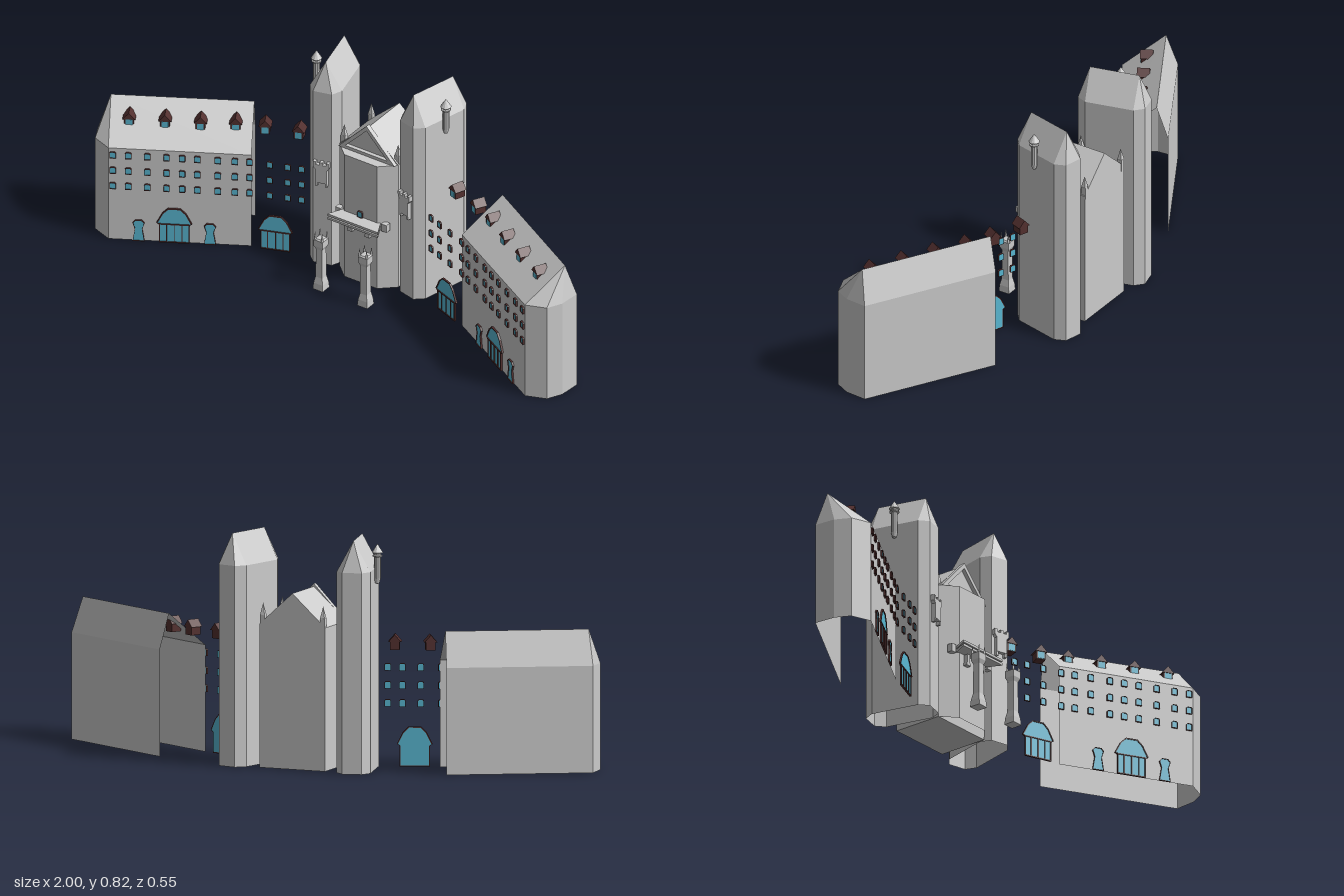
import * as THREE from 'three';

const mat = (color) => new THREE.MeshStandardMaterial({ color, flatShading: true, side: THREE.DoubleSide });
const GREY = mat(0xcccccc), GLASS = mat(0x5ab9d4), WOOD = mat(0x53302f);

function add(parent, name, geometry, material = GREY, x = 0, y = 0, z = 0) {
  const mesh = new THREE.Mesh(geometry, material);
  mesh.name = name;
  mesh.position.set(x, y, z);
  parent.add(mesh);
  return mesh;
}

const box = (w, h, d) => new THREE.BoxGeometry(w, h, d);

// Upright walls over a footprint [x, z], each eave corner joined to a roof point
function shell(ring, eave, roofOf, closed = true) {
  const pos = [];
  const face = (a, b, c, d) => pos.push(...a, ...b, ...c, ...a, ...c, ...d);
  const n = ring.length;
  for (let i = 0; i < (closed ? n : n - 1); i++) {
    const [ax, az] = ring[i], [bx, bz] = ring[(i + 1) % n];
    const a = [ax, eave, az], b = [bx, eave, bz];
    face([ax, 0, az], [bx, 0, bz], b, a);
    const ta = roofOf(i), tb = roofOf((i + 1) % n);
    if (ta === tb) pos.push(...a, ...b, ...ta);
    else face(a, b, tb, ta);
  }
  const g = new THREE.BufferGeometry();
  g.setAttribute('position', new THREE.Float32BufferAttribute(pos, 3));
  g.computeVertexNormals();
  return g;
}

const polygon = (pts) => new THREE.Shape(pts.map(([x, y]) => new THREE.Vector2(x, y)));
const extrude = (shape, depth) => new THREE.ExtrudeGeometry(shape, { depth, bevelEnabled: false });

// Outline given by its right half, from the bottom up
const symmetric = (half) => [...half, ...half.slice().reverse().map(([x, y]) => [-x, y])];

// Glazed panel with a thin wooden frame around it
function panel(name, half, rim) {
  const g = new THREE.Group();
  g.name = name;
  const pts = symmetric(half);
  const ys = half.map((p) => p[1]);
  const h = Math.max(...ys) - Math.min(...ys), w = Math.max(...half.map((p) => p[0]));
  const mid = Math.min(...ys) + h / 2;
  const inner = pts.map(([x, y]) => [x * (1 - rim / w), mid + (y - mid) * (1 - 2 * rim / h)]);
  add(g, 'glass', extrude(polygon(inner), 0.004), GLASS);
  const frame = polygon(pts);
  frame.holes.push(new THREE.Path(inner.map(([x, y]) => new THREE.Vector2(x, y))));
  add(g, 'frame', extrude(frame, 0.007), WOOD);
  return g;
}

function bigDoor() {
  const g = panel('door', [[0.053, 0], [0.053, 0.075], [0.063, 0.08], [0.042, 0.122], [0.022, 0.142]], 0.004);
  add(g, 'doorLintel', box(0.11, 0.004, 0.007), WOOD, 0, 0.076, 0.004);
  for (const x of [-0.028, 0, 0.028]) add(g, 'doorPost', box(0.003, 0.074, 0.007), WOOD, x, 0.038, 0.004);
  return g;
}

const smallDoor = () => panel('sideDoor', [[0.021, 0], [0.013, 0.05], [0.021, 0.075], [0.012, 0.086]], 0.002);
const windowPane = () => panel('window', [[0.011, -0.013], [0.011, 0.009], [0.007, 0.013]], 0.0015);

function dormer() {
  const g = new THREE.Group();
  g.name = 'dormer';
  add(g, 'dormerBody', box(0.034, 0.034, 0.04), WOOD);
  add(g, 'dormerRoof', extrude(polygon([[-0.023, 0.012], [0.023, 0.012], [0, 0.038]]), 0.046), WOOD, 0, 0, -0.023);
  add(g, 'dormerGlass', box(0.024, 0.026, 0.004), GLASS, 0, -0.002, 0.02);
  return g;
}

// Facade plane: straight wing wall outside x = 0.45, link line inside it
function onFacade(parent, part, x, y, back = 0) {
  const wing = x > 0.45;
  const slope = wing ? 0.557 : 0.375;
  const angle = -Math.atan(slope);
  const z = wing ? 0.025 + (x - 0.45) * slope : -0.05 + (x - 0.25) * slope;
  part.position.set(x + Math.sin(angle) * 0.001, y, z + 0.001 - back);
  part.rotation.y = angle;
  parent.add(part);
}

function buildTower() {
  const tower = new THREE.Group();
  tower.name = 'tower';
  tower.position.set(0.21, 0, -0.145);
  tower.rotation.y = -0.243;
  const ring = [[-0.035, 0.125], [0.035, 0.125], [0.06, 0.09], [0.06, -0.09],
    [0.035, -0.125], [-0.035, -0.125], [-0.06, -0.09], [-0.06, 0.09]];
  const front = [0, 0.825, 0.092], back = [0, 0.825, -0.092];
  add(tower, 'towerShell', shell(ring, 0.715, (i) => (ring[i][1] > 0 ? front : back)));

  // Corner turret on the outer side
  const turret = [[0, 0.66], [0.007, 0.662], [0.012, 0.68], [0.012, 0.756], [0.018, 0.758], [0.018, 0.762],
    [0.013, 0.764], [0.013, 0.77], [0.02, 0.772], [0, 0.803]].map(([r, y]) => new THREE.Vector2(r, y));
  add(tower, 'turret', new THREE.LatheGeometry(turret, 10), GREY, 0.069, 0, 0.002);

  // Oriel with battlements on the narrow front
  add(tower, 'oriel', extrude(polygon(symmetric([[0.022, 0.345], [0.022, 0.4], [0.03, 0.41], [0.03, 0.42]])), 0.02), GREY, 0, 0, 0.12);
  for (const x of [-0.025, 0, 0.025]) add(tower, 'orielMerlon', box(0.011, 0.012, 0.02), GREY, x, 0.425, 0.13);
  for (const x of [-0.018, 0.018]) add(tower, 'orielBracket', box(0.008, 0.015, 0.016), GREY, x, 0.338, 0.13);
  return tower;
}

function buildSide() {
  const side = new THREE.Group();
  side.add(buildTower());

  // Wing, open at its inner end
  const ring = [[0.45, 0.025], [0.89, 0.272], [0.965, 0.245], [0.993, 0.19], [1, 0.11], [0.55, -0.145]];
  const inner = [0.53, 0.505, -0.11], outer = [0.97, 0.505, 0.14];
  add(side, 'wing', shell(ring, 0.38, (i) => (i === 0 || i === 5 ? inner : outer), false));

  // Three rows of windows
  for (const x of [0.278, 0.326, 0.387, 0.455, 0.5, 0.553, 0.616, 0.663, 0.711, 0.77, 0.829, 0.877]) {
    for (const y of [0.225, 0.289, 0.353]) onFacade(side, windowPane(), x, y);
  }
  for (const x of [0.367, 0.687]) onFacade(side, bigDoor(), x, 0);
  for (const x of [0.577, 0.797]) onFacade(side, smallDoor(), x, 0);

  // Dormers along the roof line
  [[0.337, -0.11], [0.455, -0.07], [0.55, -0.025], [0.655, 0.04], [0.765, 0.1], [0.877, 0.16]].forEach(([x, z], i) => {
    const d = dormer();
    d.position.set(x, 0.446, z);
    d.rotation.y = i ? -0.508 : -0.36;
    side.add(d);
  });
  return side;
}

function buildCentre() {
  const centre = new THREE.Group();
  centre.name = 'gatehouse';
  add(centre, 'hall', extrude(polygon(symmetric([[0.126, 0], [0.126, 0.51], [0, 0.625]])), 0.19), GREY, 0, 0, -0.24);
  const top = [0, 0.51, -0.05];
  add(centre, 'frontBay', shell([[-0.126, -0.05], [-0.07, 0], [0.07, 0], [0.126, -0.05]], 0.51, () => top));

  // Gable frame and corner pinnacles
  const gable = polygon([[-0.12, 0.51], [0.12, 0.51], [0, 0.635]]);
  gable.holes.push(new THREE.Path([[-0.09, 0.522], [0.09, 0.522], [0, 0.615]].map(([x, y]) => new THREE.Vector2(x, y))));
  add(centre, 'gableFrame', extrude(gable, 0.018), GREY, 0, 0, -0.053);
  for (const x of [-0.115, 0.115]) for (const z of [-0.232, -0.065]) {
    add(centre, 'pinnacleBase', box(0.018, 0.045, 0.018), GREY, x, 0.52, z);
    const spire = add(centre, 'pinnacle', new THREE.ConeGeometry(0.013, 0.045, 4), GREY, x, 0.562, z);
    spire.rotation.y = Math.PI / 4;
  }

  // Balcony wrapped around the bay, on brackets
  const plan = polygon([[-0.108, 0.05], [-0.075, -0.018], [0.075, -0.018], [0.108, 0.05]]);
  for (const y of [0.252, 0.266]) {
    const slab = add(centre, 'balcony', extrude(plan, 0.009), GREY, 0, y + 0.009, 0);
    slab.rotation.x = Math.PI / 2;
  }
  for (const x of [-0.098, 0.098]) add(centre, 'balconyPost', box(0.022, 0.03, 0.022), GREY, x, 0.262, -0.012);
  for (const x of [-0.037, 0.037]) {
    add(centre, 'balconyBracket', box(0.014, 0.035, 0.016), GREY, x, 0.236, 0.008);
    add(centre, 'bracketFoot', box(0.02, 0.01, 0.016), GREY, x, 0.215, 0.008);
  }
  const pane = windowPane();
  pane.position.set(0, 0.287, 0.001);
  centre.add(pane);

  // Free-standing gate pillars with small crowns
  const profile = [[0, 0], [0.03, 0], [0.027, 0.025], [0.02, 0.05], [0.018, 0.165], [0.027, 0.18], [0.027, 0.205],
    [0.02, 0.21], [0, 0.212]].map(([r, y]) => new THREE.Vector2(r, y));
  for (const x of [-0.095, 0.095]) {
    const pillar = add(centre, 'gatePillar', new THREE.LatheGeometry(profile, 4), GREY, x, 0, 0.107);
    pillar.rotation.y = Math.PI / 4;
    for (const dx of [-0.015, 0.015]) for (const dz of [-0.015, 0.015]) {
      add(centre, 'pillarCrown', new THREE.ConeGeometry(0.006, 0.035, 4), GREY, x + dx, 0.222, 0.107 + dz);
    }
  }
  return centre;
}

export function createModel() {
  const model = new THREE.Group();
  model.name = 'castle';
  model.add(buildCentre());
  for (const s of [1, -1]) {
    const side = buildSide();
    side.name = s > 0 ? 'leftSide' : 'rightSide';
    side.scale.x = s;
    model.add(side);
  }
  return model;
}
